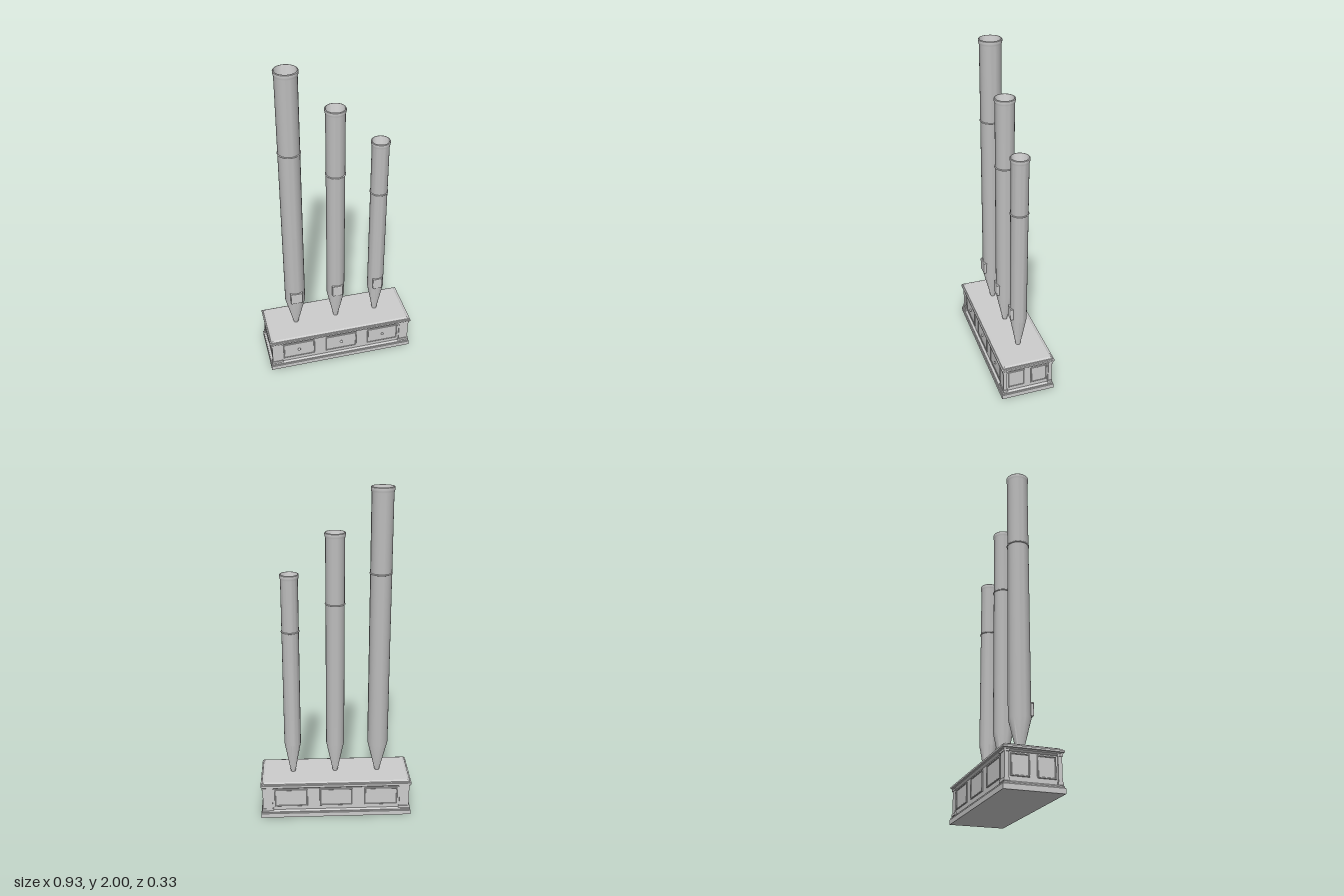
import * as THREE from 'three';
import { toCreasedNormals } from 'three/addons/utils/BufferGeometryUtils.js';
import { RoundedBoxGeometry } from 'three/addons/geometries/RoundedBoxGeometry.js';

const HALF_X = 0.464, HALF_Z = 0.166;

export function createModel() {
  const grey = new THREE.MeshStandardMaterial({ color: 0xcccccc });
  grey.name = 'stone grey';
  const root = new THREE.Group();
  root.name = 'organPipes';

  const add = (parent, name, geometry, x = 0, y = 0, z = 0) => {
    const mesh = new THREE.Mesh(geometry, grey);
    mesh.name = name;
    mesh.position.set(x, y, z);
    parent.add(mesh);
    return mesh;
  };
  const lathe = (points, sides = 40) => toCreasedNormals(
    new THREE.LatheGeometry(points.map(([r, y]) => new THREE.Vector2(r, y)), sides), 0.6);

  // Rectangular moulding: a four-sided lathe stretched along x; profile is [inset, y]
  const moulding = (profile) => {
    const pts = profile.map(([inset, y]) => new THREE.Vector2(Math.SQRT2 * (HALF_Z - inset), y));
    pts.unshift(new THREE.Vector2(0, profile[0][1]));
    pts.push(new THREE.Vector2(0, profile[profile.length - 1][1]));
    const g = new THREE.LatheGeometry(pts, 4, Math.PI / 4).toNonIndexed();
    const p = g.attributes.position;
    for (let i = 0; i < p.count; i++) {
      const x = p.getX(i);
      if (Math.abs(x) > 1e-6) p.setX(i, x + Math.sign(x) * (HALF_X - HALF_Z));
    }
    g.computeVertexNormals();
    return g;
  };

  // Base chest with stepped plinth and cornice
  const base = new THREE.Group();
  base.name = 'base';
  root.add(base);
  add(base, 'chest', moulding([
    [0, 0], [0, 0.028], [0.004, 0.032], [0.004, 0.038], [0.012, 0.044], [0.018, 0.046],
    [0.018, 0.194], [0.012, 0.198], [0.006, 0.204], [0.006, 0.209], [0, 0.212],
    [0, 0.222], [0.007, 0.224], [0.009, 0.23], [0.016, 0.232], [0.022, 0.236]]));

  // Corner pilasters with foot and capital blocks
  for (const sx of [-1, 1]) for (const sz of [-1, 1]) {
    const x = sx * 0.423, z = sz * 0.143;
    add(base, 'cornerPilaster', new THREE.BoxGeometry(0.06, 0.15, 0.022), x, 0.12, z);
    for (const y of [0.052, 0.199]) {
      add(base, 'pilasterBlock', new THREE.BoxGeometry(0.07, 0.015, 0.03), x - sx * 0.001, y, z);
    }
  }

  // Framed panel facing +z, with a raised border and a bevelled field
  const framedPanel = (width, height) => {
    const g = new THREE.Group();
    g.name = 'panel';
    const rect = (Type, w, h) => new Type().setFromPoints([
      [-w, -h], [w, -h], [w, h], [-w, h], [-w, -h]].map(([x, y]) => new THREE.Vector2(x / 2, y / 2)));
    const shape = rect(THREE.Shape, width, height);
    shape.holes.push(rect(THREE.Path, width - 0.014, height - 0.014));
    add(g, 'panelFrame', new THREE.ExtrudeGeometry(shape, {
      depth: 0.004, bevelThickness: 0.002, bevelSize: 0.002, bevelOffset: -0.002, bevelSegments: 1 }));
    add(g, 'panelField', new THREE.BoxGeometry(width - 0.01, height - 0.01, 0.004), 0, 0, 0.001);
    base.add(g);
    return g;
  };
  for (const x of [-0.278, 0, 0.278]) {
    framedPanel(0.204, 0.116).position.set(x, 0.129, 0.148);
    const back = framedPanel(0.204, 0.116);
    back.position.set(x, 0.129, -0.148);
    back.rotation.y = Math.PI;
    const knob = add(base, 'knob', new THREE.SphereGeometry(0.009, 16, 10), x, 0.13, 0.154);
    knob.scale.z = 0.8;
  }
  for (const s of [-1, 1]) for (const z of [-0.071, 0.071]) {
    const side = framedPanel(0.102, 0.116);
    side.position.set(s * 0.446, 0.129, z);
    side.rotation.y = s * Math.PI / 2;
  }

  // Pipes: hollow conical foot, body and rolled lip, plus ring and mouth
  const pipes = [
    { x: -0.264, r: 0.063, top: 2.0, ring: 1.51, mouth: 0.075 },
    { x: 0, r: 0.056, top: 1.748, ring: 1.33, mouth: 0.067 },
    { x: 0.264, r: 0.051, top: 1.51, ring: 1.165, mouth: 0.06 }];
  for (const { x, r, top, ring, mouth } of pipes) {
    const pipe = new THREE.Group();
    pipe.name = 'pipe';
    pipe.position.x = x;
    root.add(pipe);
    add(pipe, 'pipeTube', lathe([
      [0.014, 0.234], [r - 0.001, 0.43], [r, 0.434], [r, top - 0.032], [r + 0.003, top - 0.024],
      [r + 0.005, top - 0.014], [r + 0.005, top - 0.004], [r + 0.002, top], [r - 0.001, top],
      [r - 0.003, top - 0.006], [r - 0.003, 0.434], [0.012, 0.234]]));
    const band = add(pipe, 'pipeRing', new THREE.TorusGeometry(r, 0.0045, 8, 40), 0, ring, 0);
    band.rotation.x = Math.PI / 2;
    add(pipe, 'mouthPlate', new RoundedBoxGeometry(mouth, 0.076, 0.03, 3, 0.006), 0, 0.484, r - 0.008);
    add(pipe, 'mouthLip', new RoundedBoxGeometry(mouth + 0.003, 0.008, 0.028, 2, 0.003), 0, 0.521, r - 0.008);
  }
  return root;
}
